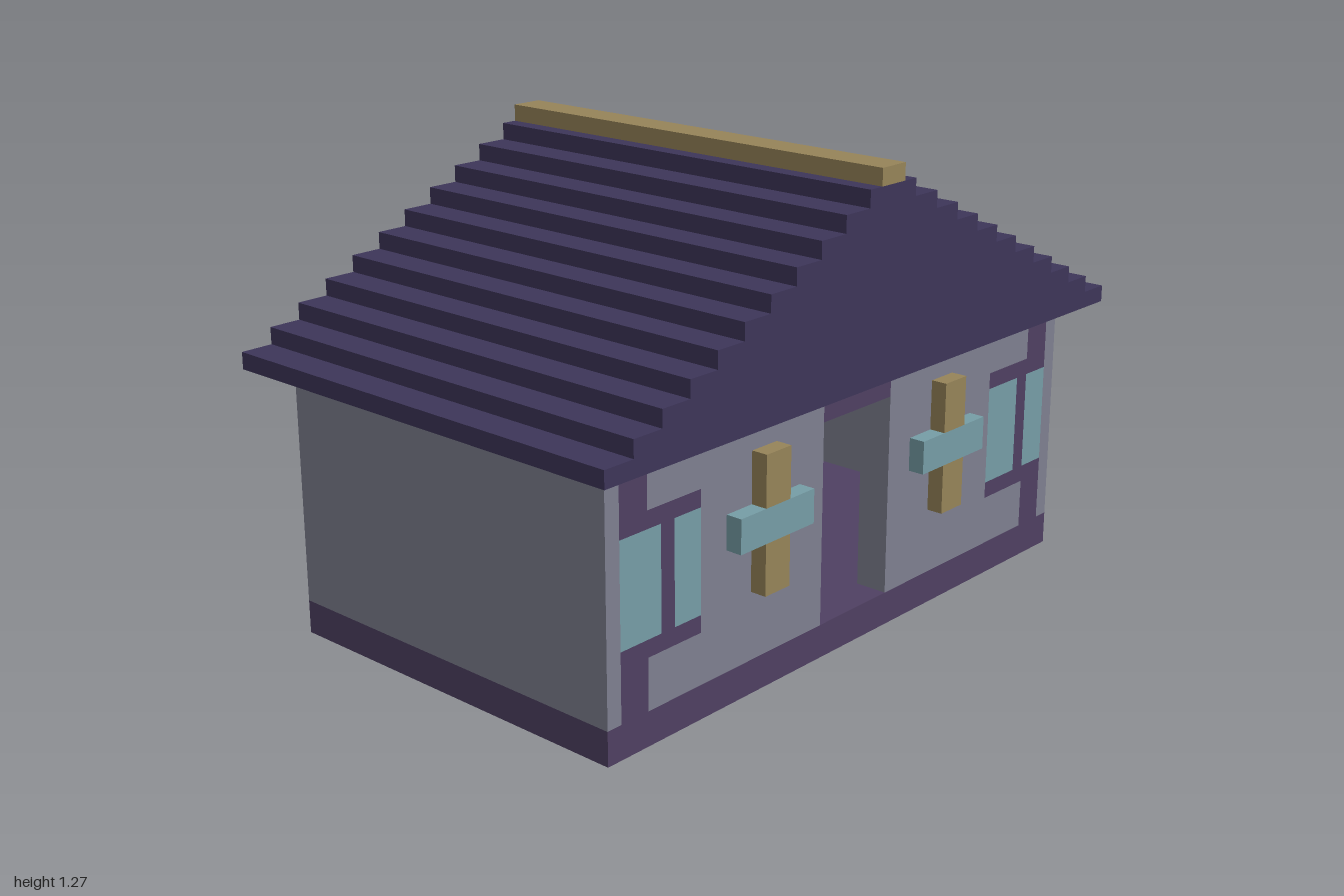
import * as THREE from 'three';

const U = 1 / 22; // one block; the roof is 44 blocks wide

const paint = (color) => new THREE.MeshStandardMaterial({ color, flatShading: true });

export function createModel() {
  const house = new THREE.Group();
  house.name = 'house';
  const wall = paint(0x7e7f90);
  const timber = paint(0x4f4062);
  const tile = paint(0x3d3559);
  const wood = paint(0x968459);
  const glass = paint(0x769da6);

  // Box between block coordinates
  function block(name, material, [x0, x1], [y0, y1], [z0, z1]) {
    const geometry = new THREE.BoxGeometry((x1 - x0) * U, (y1 - y0) * U, (z1 - z0) * U);
    const mesh = new THREE.Mesh(geometry, material);
    mesh.position.set((x0 + x1) * U / 2, (y0 + y1) * U / 2, (z0 + z1) * U / 2);
    mesh.name = name;
    house.add(mesh);
  }
  const flip = (s, [a, b]) => (s > 0 ? [a, b] : [-b, -a]);

  // Foundation, also the floor seen through the doorway
  block('foundation', timber, [-20, 20], [0, 2], [-12, 12]);

  // Back wall
  const back = [-12, -10], front = [10, 12];
  block('backWall', wall, [-17, 17], [2, 16], back);

  // Lintel over the open doorway
  block('doorLintel', timber, [-3, 3], [14, 16], front);

  for (const s of [1, -1]) {
    const put = (name, material, x, y, z) => block(name, material, flip(s, x), y, z);

    // Side wall and back corner
    put('sideWall', wall, [18, 20], [2, 16], [-10, 10]);
    put('backPost', timber, [17, 19], [2, 16], back);
    put('backCorner', wall, [19, 20], [2, 16], back);

    // Front wall around the window
    put('frontWall', wall, [3, 13], [2, 16], front);
    put('frontCorner', wall, [19, 20], [2, 16], front);
    put('wallBelowWindow', wall, [13, 17], [2, 5], front);
    put('wallAboveWindow', wall, [13, 17], [13, 16], front);

    // Posts and window frame
    put('lowerPost', timber, [17, 19], [2, 6], front);
    put('upperPost', timber, [17, 19], [12, 16], front);
    put('windowSill', timber, [13, 17], [5, 6], front);
    put('windowHead', timber, [13, 17], [12, 13], front);

    // Window panes, the bar sits one block further right on both sides
    const bar = s > 0 ? 16 : 15;
    put('windowPane', glass, [13, bar], [6, 12], front);
    put('windowBar', timber, [bar, bar + 1], [6, 12], front);
    put('windowPane', glass, [bar + 1, 19], [6, 12], front);

    // Raised cross on the front wall
    const raised = [12, 13];
    put('crossUpperArm', wood, [7, 9], [11, 14], raised);
    put('crossLowerArm', wood, [7, 9], [6, 9], raised);
    put('crossBar', glass, [5, 11], [9, 11], raised);
  }

  // Stepped roof, one extruded profile
  const right = [];
  for (let i = 0; i < 11; i++) {
    const half = 22 - 2 * i;
    right.push([half, 16 + i], [half, 17 + i]);
  }
  const left = right.map(([x, y]) => [-x, y]).reverse();
  const profile = new THREE.Shape([...right, ...left].map(([x, y]) => new THREE.Vector2(x * U, y * U)));
  const roofGeometry = new THREE.ExtrudeGeometry(profile, { depth: 28 * U, bevelEnabled: false });
  roofGeometry.translate(0, 0, -14 * U);
  const roof = new THREE.Mesh(roofGeometry, tile);
  roof.name = 'roof';
  house.add(roof);

  block('ridgeBeam', wood, [-1, 1], [27, 28], [-14, 14]);

  return house;
}
